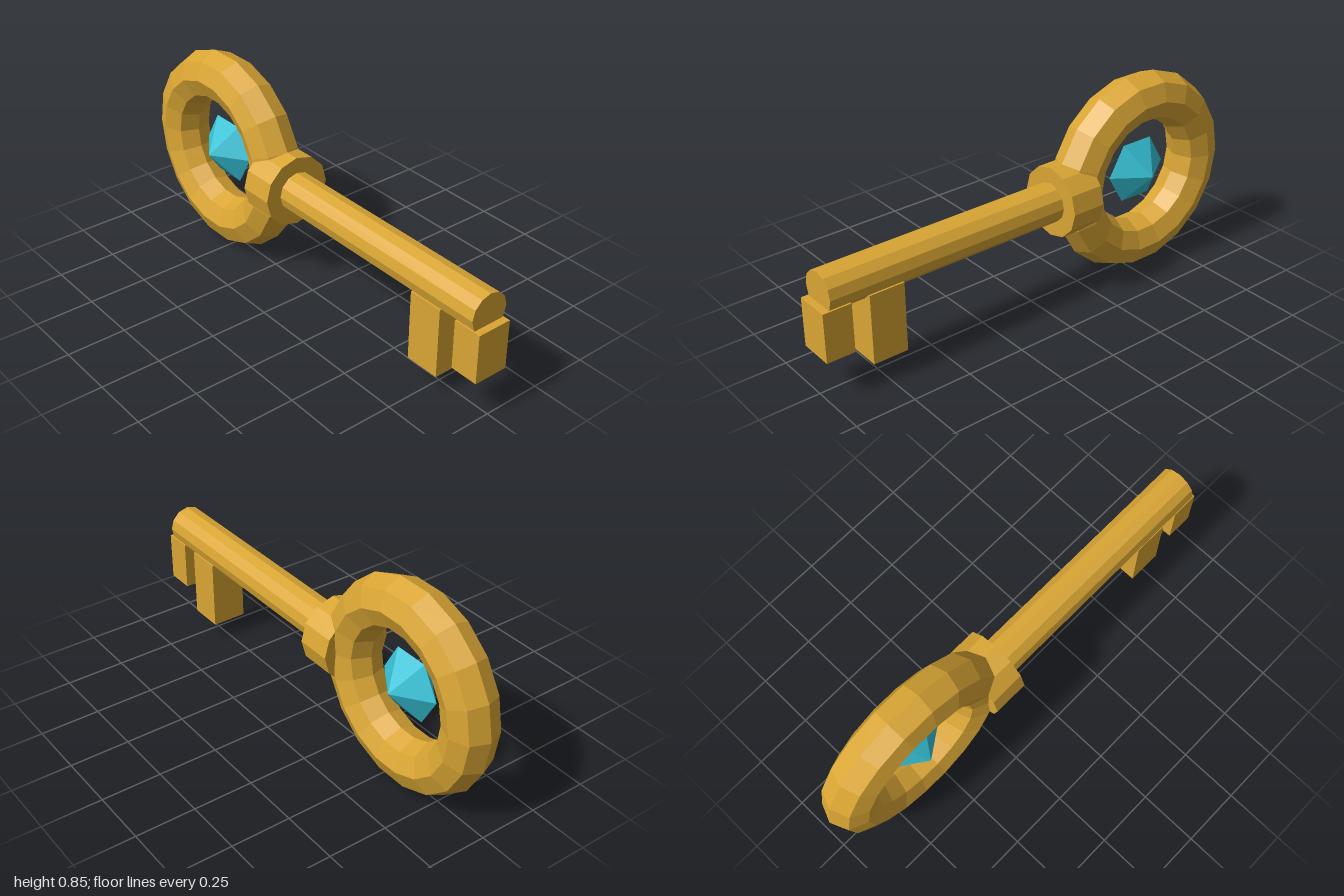
import * as THREE from 'three';

export function createModel() {
  const gold = new THREE.MeshStandardMaterial({ color: 0xdaa634, flatShading: true });
  gold.name = 'gold';
  const teal = new THREE.MeshStandardMaterial({ color: 0x35c2d6, flatShading: true });
  teal.name = 'teal gem';

  const key = new THREE.Group();
  key.name = 'key';
  const axisY = 0.432;
  const bowX = -0.566;

  function add(name, geometry, material, x, y) {
    const mesh = new THREE.Mesh(geometry, material);
    mesh.name = name;
    mesh.position.set(x, y, 0);
    key.add(mesh);
    return mesh;
  }

  // Twelve-sided rod along x between two ends
  function rod(name, radius, x0, x1) {
    const geometry = new THREE.CylinderGeometry(radius, radius, x1 - x0, 12);
    geometry.rotateZ(-Math.PI / 2);
    return add(name, geometry, gold, (x0 + x1) / 2, axisY);
  }

  // Tooth hanging below the shaft
  function tooth(name, x0, x1, bottom) {
    const top = 0.385;
    const geometry = new THREE.BoxGeometry(x1 - x0, top - bottom, 0.149);
    return add(name, geometry, gold, (x0 + x1) / 2, (top + bottom) / 2);
  }

  // Ring handle, eight-sided in section
  add('bowRing', new THREE.TorusGeometry(0.329, 0.105, 8, 18), gold, bowX, axisY);

  // Floating gem: six-sided double pyramid pointing front and back
  const gem = new THREE.LatheGeometry(
    [new THREE.Vector2(0, -0.103), new THREE.Vector2(0.148, 0), new THREE.Vector2(0, 0.103)], 6);
  gem.rotateY(Math.PI / 2);
  gem.rotateX(Math.PI / 2);
  add('gem', gem, teal, bowX, axisY);

  rod('collar', 0.15, -0.25, -0.1);
  rod('shaft', 0.083, -0.2, 0.97);

  tooth('longTooth', 0.655, 0.805, 0.088);
  tooth('shortTooth', 0.88, 1.0, 0.177);

  return key;
}
